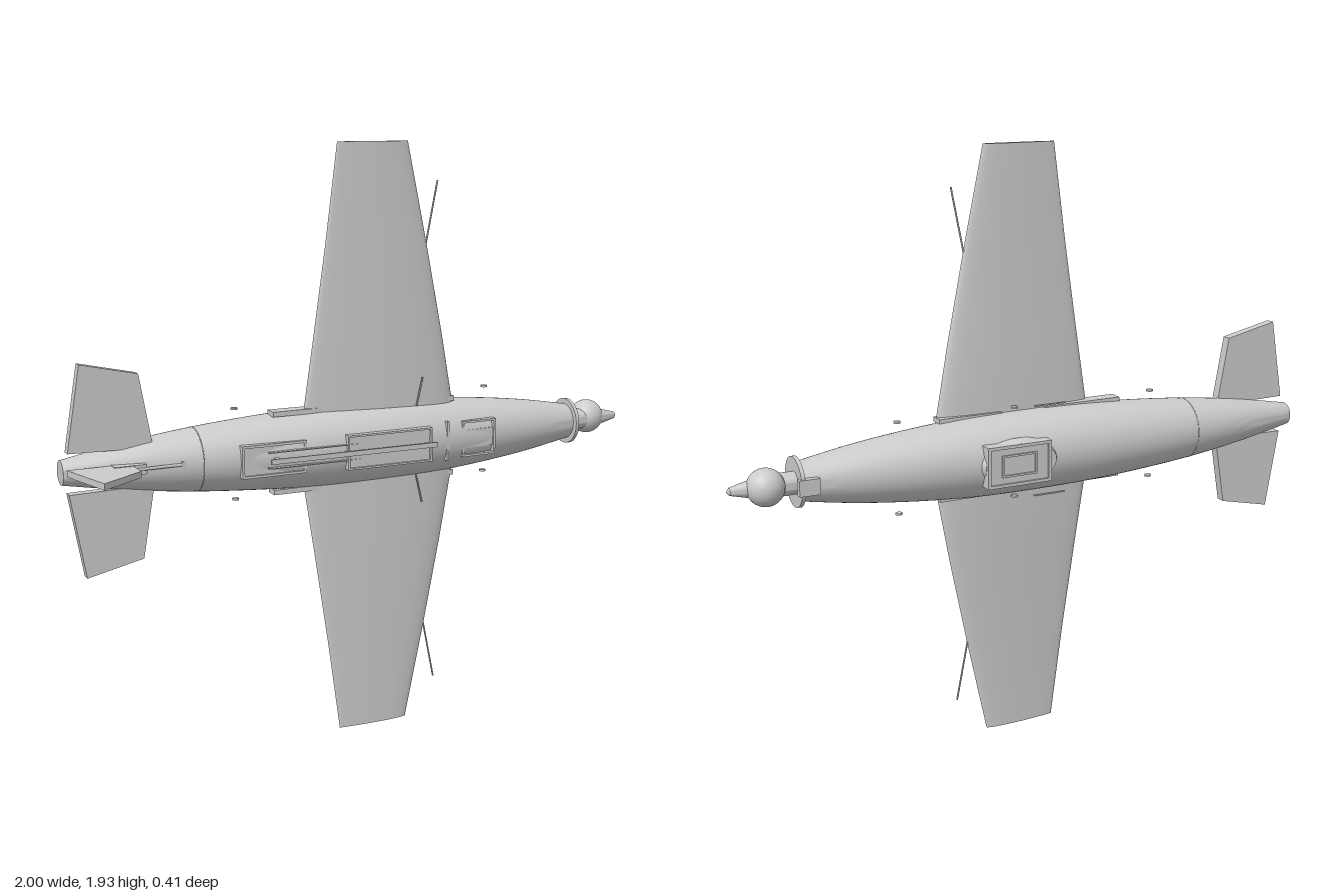
import * as THREE from 'three';
import { toCreasedNormals } from 'three/addons/utils/BufferGeometryUtils.js';

const CY = 0.972; // height of the fuselage axis
const CZ = -0.06; // depth of the fuselage axis
const grey = new THREE.MeshStandardMaterial({ color: 0xcccccc, side: THREE.DoubleSide });

export function createModel() {
  const model = new THREE.Group();

  const add = (name, geometry, x = 0, y = 0, z = 0) => {
    const mesh = new THREE.Mesh(geometry, grey);
    mesh.name = name;
    mesh.position.set(x, y, z);
    model.add(mesh);
    return mesh;
  };
  // box given by its extents; y is measured from the axis
  const box = (name, x0, x1, y0, y1, z0, z1) =>
    add(name, new THREE.BoxGeometry(x1 - x0, y1 - y0, z1 - z0),
      (x0 + x1) / 2, CY + (y0 + y1) / 2, (z0 + z1) / 2);
  // open rectangular frame lying in the x-y plane
  const frame = (name, x0, x1, h, z0, z1, w = 0.008) => {
    for (const s of [-1, 1]) {
      const edge = s * (h - w / 2);
      box(name, x0, x1, edge - w / 2, edge + w / 2, z0, z1);
    }
    box(name, x0, x0 + w, -h, h, z0, z1);
    box(name, x1 - w, x1, -h, h, z0, z1);
  };
  // thin rod between two points
  const rod = (name, a, b, r = 0.003) =>
    add(name, new THREE.TubeGeometry(new THREE.LineCurve3(a, b), 1, r, 8));
  // body of revolution along x, from [x, radius] pairs
  const turned = (name, pts, z = CZ) => {
    const g = new THREE.LatheGeometry(pts.map(([x, r]) => new THREE.Vector2(r, x)), 48);
    return add(name, toCreasedNormals(g.rotateZ(-Math.PI / 2), 0.6), 0, CY, z);
  };
  // flat plate with a polygon outline, centred on its thickness
  const plate = (name, pts, t) => {
    const shape = new THREE.Shape(pts.map(([a, b]) => new THREE.Vector2(a, b)));
    const g = new THREE.ExtrudeGeometry(shape, { depth: t, bevelEnabled: false });
    return add(name, g.translate(0, 0, -t / 2));
  };

  // Fuselage: smooth spindle with a flat tail
  const spindle = new THREE.SplineCurve([
    [-1, 0.038], [-0.8, 0.073], [-0.6, 0.099], [-0.4, 0.116], [-0.2, 0.127], [0, 0.13],
    [0.2, 0.127], [0.4, 0.113], [0.6, 0.09], [0.79, 0.058],
  ].map(([x, r]) => new THREE.Vector2(x, r))).getPoints(40).map((p) => [p.x, p.y]);
  turned('fuselage', [[-1, 0], ...spindle, [0.79, 0]]);

  // Nose: collar, spindle cone and round sensor
  turned('noseCollar', [[0.779, 0], [0.779, 0.078], [0.791, 0.078], [0.791, 0]]);
  turned('noseCone', [[0.79, 0.035], [0.88, 0.036], [0.93, 0.027], [0.99, 0.012], [1, 0]], -0.068);
  add('noseBall', new THREE.SphereGeometry(0.058, 32, 24), 0.885, CY + 0.003, -0.083);
  box('noseHatch', 0.735, 0.8, -0.025, 0.025, -0.14, -0.118);

  // Wing: one loft of airfoil sections from tip to tip
  // columns: span, trailing x, leading x, mid depth, half thickness
  const half = [[0.1, -0.226, 0.317, -0.028, 0.03], [0.35, -0.189, 0.27, -0.024, 0.025],
    [0.65, -0.146, 0.208, -0.02, 0.017], [0.963, -0.105, 0.14, -0.018, 0.013]];
  const sections = [...half.map(([y, ...r]) => [-y, ...r]).reverse(), ...half];
  const N = 36, verts = [], idx = [];
  sections.forEach(([y, t, l, z, h]) => {
    for (let i = 0; i < N; i++) {
      const a = (i / N) * Math.PI * 2;
      const u = (1 - Math.cos(a)) / 2; // 0 trailing, 1 leading
      const bulge = Math.pow(Math.abs(Math.sin(a)), 0.9) * (0.6 + 0.5 * u);
      verts.push(t + (l - t) * u, CY + y, z + Math.sign(Math.sin(a)) * h * bulge);
    }
  });
  const last = sections.length - 1;
  for (let s = 0; s < last; s++) for (let i = 0; i < N; i++) {
    const a = s * N + i, b = s * N + (i + 1) % N;
    idx.push(a, a + N, b, b, a + N, b + N);
  }
  for (let i = 1; i < N - 1; i++) {
    idx.push(0, i, i + 1, last * N, last * N + i + 1, last * N + i);
  }
  const wing = new THREE.BufferGeometry();
  wing.setAttribute('position', new THREE.Float32BufferAttribute(verts, 3));
  wing.setIndex(idx);
  add('wing', toCreasedNormals(wing, 0.7));

  // Parts on both sides of the fuselage
  for (const s of [-1, 1]) {
    const at = (x, y, z) => new THREE.Vector3(x, CY + s * y, z);
    plate('tailplane', [[-0.985, 0.063], [-0.94, 0.328], [-0.76, 0.288], [-0.72, 0.058]]
      .map(([x, y]) => [x, s * y]), 0.032).position.set(0, CY, -0.04);
    rod('tailplanePivot', at(-0.84, 0, -0.04), at(-0.84, 0.09, -0.04), 0.01);

    const y0 = s > 0 ? 0.118 : -0.134;
    box('wingRootRail', -0.33, -0.05, y0, y0 + 0.016, -0.062, -0.015);
    box('wingRootRail', 0.1, 0.315, y0, y0 + 0.016, -0.062, -0.015);
    box('sideStrip', -0.11, 0.0, s * 0.148 - 0.002, s * 0.148 + 0.002, -0.095, -0.088);
    for (const x of [-0.44, 0.06, 0.46]) {
      add('sideStud', new THREE.CylinderGeometry(0.011, 0.011, 0.006, 16), x, CY + s * 0.146, -0.07);
    }
    rod('wingProbe', at(0.19, 0.55, -0.02), at(0.248, 0.838, -0.02));
    rod('rootProbe', at(0.165, 0.115, 0.005), at(0.187, 0.21, 0.005));
  }

  // Upright fin and its control linkage
  const fin = plate('fin', [[-0.995, 0.0], [-0.94, -0.205], [-0.8, -0.105], [-0.8, 0.0]], 0.02);
  fin.rotation.x = -Math.PI / 2;
  fin.position.y = CY + 0.01;
  box('finFoot', -0.86, -0.76, -0.008, 0.022, -0.01, 0.035);
  rod('finLinkage', new THREE.Vector3(-0.86, CY + 0.008, 0.035),
    new THREE.Vector3(-0.64, CY + 0.008, 0.03), 0.005);
  box('linkageHorn', -0.65, -0.635, -0.002, 0.018, 0.01, 0.035);

  // Panels along the upper side
  frame('rearPanelFrame', -0.465, -0.25, 0.052, 0.035, 0.062);
  box('rearPanel', -0.46, -0.255, -0.05, 0.05, 0.036, 0.054);
  box('topRail', -0.38, 0.2, -0.008, 0.008, 0.084, 0.09);
  for (const x of [-0.36, -0.12, 0.16]) box('railPost', x, x + 0.015, -0.006, 0.006, 0.05, 0.086);
  for (const y of [-0.026, 0.024]) box('railEdge', -0.38, -0.07, y, y + 0.003, 0.06, 0.075);
  box('centrePanel', -0.11, 0.18, -0.052, 0.056, 0.05, 0.072);
  frame('centrePanelFrame', -0.115, 0.185, 0.056, 0.05, 0.08, 0.006);
  box('crossStrip', 0.248, 0.256, -0.065, 0.065, 0.02, 0.064);
  frame('frontHatchFrame', 0.31, 0.435, 0.06, 0.015, 0.056, 0.007);
  const wedge = plate('frontHatch', [[0.32, -0.03], [0.32, -0.056], [0.43, -0.05], [0.43, -0.03]], 0.06);
  wedge.rotation.x = -Math.PI / 2;
  wedge.position.y = CY;
  add('tailBand', new THREE.TorusGeometry(0.1, 0.002, 6, 48).rotateY(Math.PI / 2), -0.58, CY, CZ);

  // Belly pod: rounded base, raised box and rim
  const pod = add('bellyPod', new THREE.CylinderGeometry(0.08, 0.07, 0.03, 40)
    .rotateX(Math.PI / 2).scale(1.75, 0.95, 1), 0.1, CY, -0.185);
  pod.geometry.computeVertexNormals();
  pod.geometry = toCreasedNormals(pod.geometry, 0.6);
  box('podBox', 0.0, 0.22, -0.066, 0.066, -0.203, -0.165);
  frame('podRim', 0.0, 0.22, 0.066, -0.21, -0.2, 0.01);
  frame('podWindow', 0.05, 0.17, 0.035, -0.209, -0.2, 0.006);

  return model;
}
